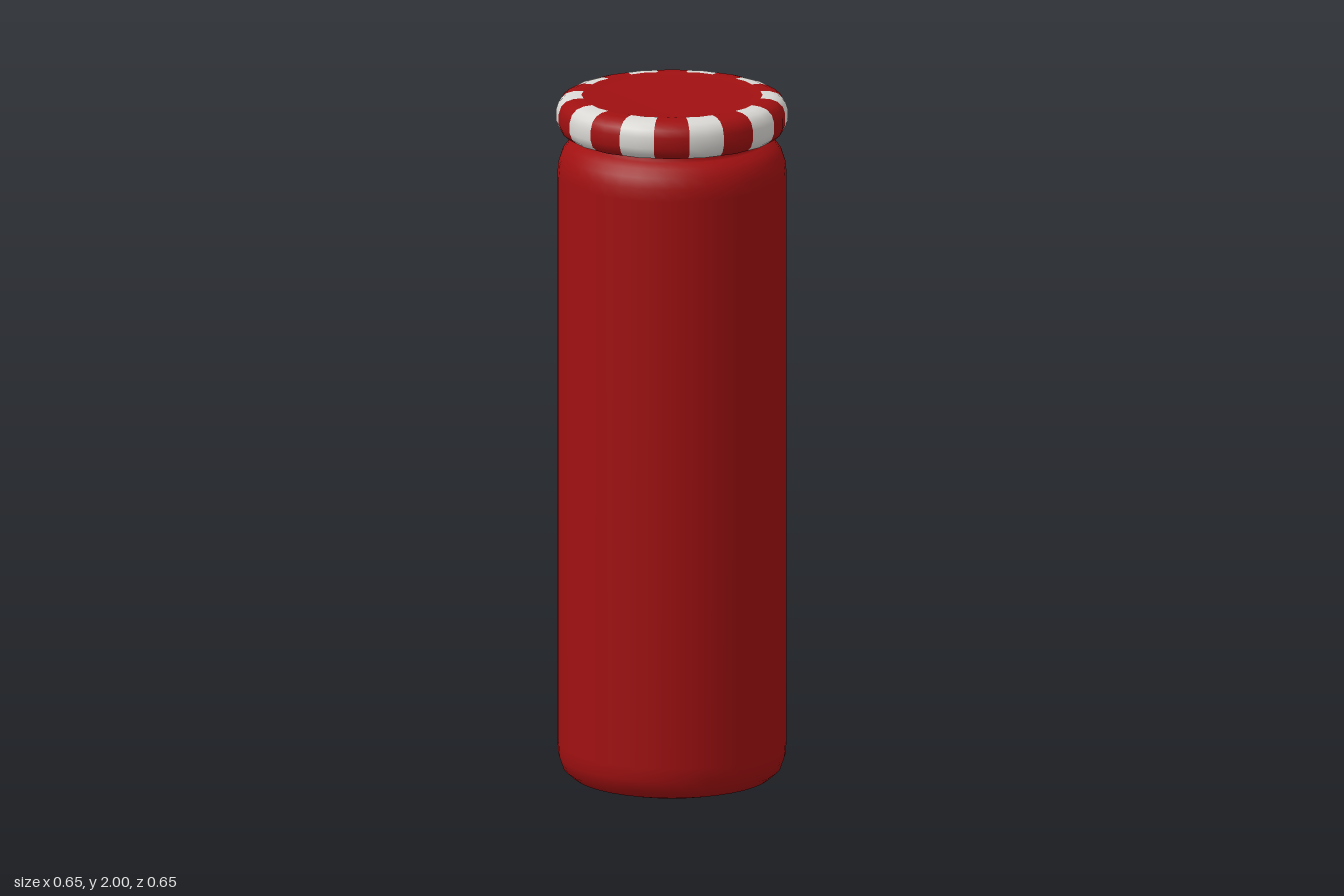
import * as THREE from 'three';

const STRIPES = 20;
const STEP = (Math.PI * 2) / STRIPES;

const toPoints = (pairs) => pairs.map(([r, y]) => new THREE.Vector2(r, y));

export function createModel() {
  const red = new THREE.MeshStandardMaterial({ color: 0xa01011 });
  red.name = 'red';
  const white = new THREE.MeshStandardMaterial({ color: 0xdad8d4 });
  white.name = 'offWhite';

  const model = new THREE.Group();
  model.name = 'bottle';
  const add = (parent, name, geometry, material) => {
    const mesh = new THREE.Mesh(geometry, material);
    mesh.name = name;
    parent.add(mesh);
  };

  // Body with rounded base, shoulder and short neck
  const bodyProfile = toPoints([
    [0, 0], [0.22, 0], [0.25, 0.003], [0.285, 0.013], [0.31, 0.035], [0.322, 0.07], [0.325, 0.11],
    [0.325, 1.77], [0.322, 1.805], [0.312, 1.835], [0.295, 1.858], [0.272, 1.87],
    [0.264, 1.876], [0.262, 1.9],
  ]);
  add(model, 'body', new THREE.LatheGeometry(bodyProfile, 40), red);

  const cap = new THREE.Group();
  cap.name = 'cap';
  model.add(cap);

  // Flat panels of the cap, with corners at the middle of each stripe
  const topProfile = toPoints([[0.257, 2], [0.24, 1.998], [0.225, 1.996], [0, 1.996]]);
  add(cap, 'capTop', new THREE.LatheGeometry(topProfile, STRIPES, STEP / 2), red);
  const underProfile = toPoints([[0, 1.887], [0.25, 1.887], [0.285, 1.887]]);
  add(cap, 'capUnderside', new THREE.LatheGeometry(underProfile, STRIPES, STEP / 2), red);

  // Striped rim: each stripe is a two-column slice, its edges lying on the polygon sides
  const rimProfile = toPoints([
    [0.285, 1.887], [0.306, 1.892], [0.321, 1.905], [0.329, 1.925],
    [0.329, 1.957], [0.322, 1.978], [0.307, 1.992], [0.285, 1.999], [0.257, 2],
  ]);
  const edgeScale = Math.cos(STEP / 2);
  for (let k = 0; k < STRIPES; k++) {
    const slice = new THREE.LatheGeometry(rimProfile, 2, k * STEP, STEP);
    const pos = slice.attributes.position;
    const n = rimProfile.length;
    for (let i = 0; i < pos.count; i++) {
      if (Math.floor(i / n) === 1) continue;
      pos.setX(i, pos.getX(i) * edgeScale);
      pos.setZ(i, pos.getZ(i) * edgeScale);
    }
    const isWhite = k % 2 === 1;
    add(cap, isWhite ? 'whiteStripe' : 'redStripe', slice, isWhite ? white : red);
  }

  return model;
}
